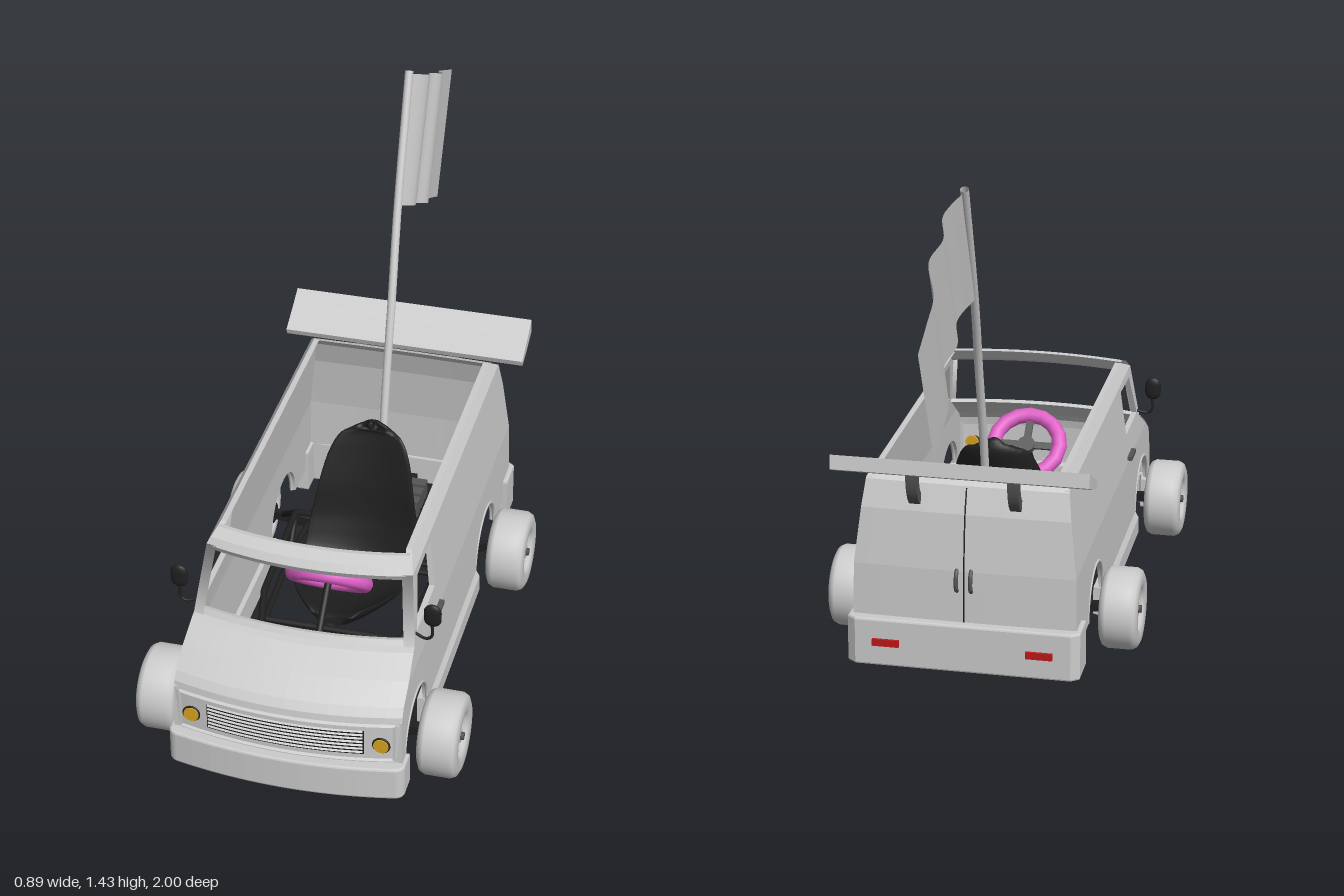
import * as THREE from 'three';
import { ParametricGeometry } from 'three/addons/geometries/ParametricGeometry.js';

const paint = (color) => new THREE.MeshStandardMaterial({ color, side: THREE.DoubleSide });
const grey = paint(0xcccccc), steel = paint(0x555555), dark = paint(0x202020);
const pink = paint(0xe060c8), amber = paint(0xd9a520), red = paint(0xc01818);
const V = (x, y, z) => new THREE.Vector3(x, y, z);

export function createModel() {
  const model = new THREE.Group();
  const left = new THREE.Group(); // everything mirrored to the other side
  left.name = 'leftSide';

  const add = (parent, name, geo, mat, x = 0, y = 0, z = 0) => {
    const m = new THREE.Mesh(geo, mat);
    m.name = name;
    m.position.set(x, y, z);
    parent.add(m);
    return m;
  };
  const box = (parent, name, mat, w, h, d, x, y, z) =>
    add(parent, name, new THREE.BoxGeometry(w, h, d), mat, x, y, z);
  const rod = (parent, name, pts, r, mat = dark) => {
    const path = pts.length > 2 ? new THREE.CatmullRomCurve3(pts) : new THREE.LineCurve3(...pts);
    return add(parent, name, new THREE.TubeGeometry(path, pts.length > 2 ? 16 : 1, r, 10), mat);
  };
  // Half width of the body at a given height
  const halfWidth = (y) => y < 0.33 ? 0.317 - 0.0212 * y
    : y < 0.57 ? 0.31 - (y - 0.33) * 0.1167 : 0.282 - (y - 0.57) * 0.667;
  // Sheet through rows of [z, y, half width], bowed in z toward the sides
  const panel = (parent, name, rows, bow, mat = grey) => {
    const n = rows.length - 1;
    return add(parent, name, new ParametricGeometry((u, v, t) => {
      const [z, y, w = halfWidth(y)] = rows[Math.round(v * n)];
      const x = (u * 2 - 1) * w;
      t.set(x, y, z - bow * (x / 0.31) ** 2);
    }, 16, n), mat);
  };
  const poly = (pts) => new THREE.Shape(pts.map(([a, b]) => new THREE.Vector2(a, b)));
  const extrude = (shape, depth) => new THREE.ExtrudeGeometry(shape, { depth, bevelEnabled: false, curveSegments: 20 });
  // Side wall piece drawn in (z, y) and leaned to the body's half width
  const wall = (name, shape) => {
    const geo = extrude(shape, 0.016);
    const p = geo.attributes.position;
    const ys = shape.getPoints().map((q) => q.y);
    const y0 = Math.min(...ys), y1 = Math.max(...ys);
    for (let i = 0; i < p.count; i++) {
      const z = p.getX(i), y = p.getY(i), k = (y - y0) / (y1 - y0);
      const w = THREE.MathUtils.lerp(halfWidth(y0), halfWidth(y1 - 1e-6), k);
      p.setXYZ(i, w - p.getZ(i), y, z);
    }
    geo.computeVertexNormals();
    add(left, name, geo, grey);
  };

  // Side walls: lower with wheel arches, upper with window, roof edge
  const wheelZ = [0.773, -0.07], axleY = 0.117;
  const lower = new THREE.Shape();
  lower.moveTo(-0.385, 0.33).lineTo(-0.39, 0.117);
  for (const z of [wheelZ[1], wheelZ[0]]) lower.absarc(z, axleY, 0.127, Math.PI, 0, true);
  lower.lineTo(0.935, 0.117).lineTo(0.93, 0.26).lineTo(0.91, 0.295).lineTo(0.856, 0.33);
  wall('lowerSideWall', lower);
  const upper = poly([[-0.385, 0.33], [0.856, 0.33], [0.765, 0.385], [0.7, 0.57], [-0.342, 0.57], [-0.365, 0.49]]);
  upper.holes.push(new THREE.Path(poly([[0.725, 0.41], [0.66, 0.545], [0.51, 0.55], [0.525, 0.41]]).getPoints()));
  wall('upperSideWall', upper);
  wall('roofEdge', poly([[-0.342, 0.57], [0.7, 0.57], [0.63, 0.6], [-0.295, 0.6]]));

  // Nose, bonnet, windscreen header, pillars and rear doors
  panel(model, 'nose', [[0.972, 0.12], [0.97, 0.25], [0.965, 0.275]], 0.04);
  panel(model, 'bonnet', [[0.965, 0.275], [0.948, 0.297], [0.89, 0.34], [0.82, 0.38], [0.8, 0.385], [0.79, 0.4]], 0.04);
  panel(model, 'cowl', [[0.79, 0.4], [0.775, 0.395]], 0.04);
  panel(model, 'windscreenHeader',
    [[0.73, 0.55], [0.738, 0.567], [0.725, 0.587], [0.69, 0.6], [0.675, 0.598], [0.7, 0.565], [0.73, 0.55]], 0.045);
  panel(model, 'rearDoors',
    [[-0.395, 0.1], [-0.392, 0.33], [-0.374, 0.49], [-0.35, 0.565], [-0.32, 0.59], [-0.295, 0.6]], -0.005);
  panel(model, 'rearDoorsInner', [[-0.375, 0.1], [-0.37, 0.33], [-0.352, 0.49], [-0.33, 0.565], [-0.295, 0.6]], -0.005);
  rod(model, 'doorSeam', [V(0, 0.18, -0.394), V(0, 0.33, -0.392), V(0, 0.49, -0.374), V(0, 0.56, -0.351)], 0.002);
  add(left, 'windscreenPillar', new ParametricGeometry((u, v, t) => {
    const y = 0.385 + v * 0.185;
    t.set(halfWidth(y) - u * 0.028, y, 0.765 - 0.065 * v + u * 0.006);
  }, 1, 1), grey);

  // Grille, its raised frame and headlights
  panel(model, 'grille', [[0.974, 0.158, 0.215], [0.973, 0.236, 0.215]], 0.04, dark);
  for (let i = 0; i < 7; i++) {
    const y = 0.162 + i * 0.0115;
    panel(model, 'grilleBar', [[0.974, y, 0.212], [0.978, y + 0.002, 0.212], [0.974, y + 0.006, 0.212]], 0.04);
  }
  for (const y of [0.137, 0.252])
    panel(model, 'grilleFrame', [[0.971, y, 0.295], [0.979, y + 0.002, 0.295], [0.971, y + 0.006, 0.295]], 0.04);
  box(left, 'grilleFrameEnd', grey, 0.006, 0.115, 0.016, 0.292, 0.198, 0.934);
  add(left, 'headlight', new THREE.CylinderGeometry(0.021, 0.021, 0.016, 24), amber, 0.26, 0.19, 0.945).rotation.x = Math.PI / 2;
  add(left, 'headlightRim', new THREE.TorusGeometry(0.022, 0.003, 8, 24), dark, 0.26, 0.19, 0.947);

  // Bumpers: plan outline in (x, -z) raised upward
  const bumper = (name, outline, y, h) => {
    const geo = new THREE.ExtrudeGeometry(outline, { depth: h - 0.012, bevelSize: 0.006, bevelThickness: 0.006, bevelSegments: 2 });
    add(model, name, geo.rotateX(-Math.PI / 2), grey, 0, y + 0.006, 0);
  };
  const front = new THREE.Shape();
  front.moveTo(-0.318, -0.895).lineTo(-0.318, -0.945).quadraticCurveTo(-0.314, -0.958, -0.3, -0.962);
  front.quadraticCurveTo(0, -1.026, 0.3, -0.962).quadraticCurveTo(0.314, -0.958, 0.318, -0.945);
  front.lineTo(0.318, -0.895).lineTo(0.298, -0.895).lineTo(0.29, -0.93).quadraticCurveTo(0, -0.98, -0.29, -0.93).lineTo(-0.298, -0.895);
  bumper('frontBumper', front, 0.03, 0.1);
  bumper('rearBumper', poly([[-0.32, 0.315], [-0.32, 0.4], [-0.3, 0.415], [0.3, 0.415], [0.32, 0.4], [0.32, 0.315],
    [0.295, 0.315], [0.295, 0.375], [-0.295, 0.375], [-0.295, 0.315]]), 0.04, 0.14);
  box(left, 'tailLight', red, 0.075, 0.02, 0.012, 0.215, 0.112, -0.423);
  rod(left, 'rearDoorHandle', [V(0.02, 0.27, -0.388), V(0.02, 0.282, -0.402), V(0.02, 0.32, -0.4), V(0.02, 0.335, -0.386)], 0.006, steel);

  // Sills, arch lips, side door handle and mirror
  const sill = poly([[0.285, 0.035], [0.31, 0.03], [0.324, 0.045], [0.324, 0.095], [0.312, 0.117], [0.285, 0.117]]);
  add(left, 'sill', extrude(sill, 0.6), grey, 0, 0, 0.05);
  for (const z of wheelZ)
    add(left, 'archLip', new THREE.TorusGeometry(0.127, 0.005, 8, 28, Math.PI), grey, 0.311, axleY, z).rotation.y = Math.PI / 2;
  box(left, 'sideDoorHandle', steel, 0.014, 0.012, 0.075, 0.316, 0.343, 0.54);
  rod(left, 'mirrorArm', [V(0.29, 0.415, 0.735), V(0.33, 0.405, 0.745), V(0.345, 0.415, 0.745), V(0.345, 0.46, 0.745)], 0.004);
  add(left, 'mirror', new THREE.CapsuleGeometry(0.024, 0.022, 6, 16), dark, 0.347, 0.484, 0.745).scale.z = 0.45;

  // Wheels: tyre with stepped rim and hub, carried on tapering arms
  const tyre = [[0.0, 0.045], [0.02, 0.045], [0.024, 0.032], [0.045, 0.03], [0.05, 0.04], [0.056, 0.04], [0.06, 0.048], [0.07, 0.054],
    [0.095, 0.055], [0.11, 0.048], [0.117, 0.034], [0.117, -0.034], [0.11, -0.048], [0.095, -0.055], [0.07, -0.054], [0.06, -0.03], [0, -0.03]]
    .map(([r, h]) => new THREE.Vector2(r, h)).reverse();
  const arm = poly([[0.12, 0.075], [0.34, 0.105], [0.34, 0.13], [0.12, 0.115]]);
  for (const z of wheelZ) {
    add(left, 'wheel', new THREE.LatheGeometry(tyre, 40), grey, 0.39, axleY, z).rotation.z = -Math.PI / 2;
    add(left, 'wheelNut', new THREE.CylinderGeometry(0.011, 0.011, 0.012, 6), steel, 0.438, axleY, z).rotation.z = Math.PI / 2;
    add(left, 'brakeDisc', new THREE.CylinderGeometry(0.03, 0.03, 0.02, 20), dark, 0.335, axleY, z).rotation.z = Math.PI / 2;
    add(left, 'suspensionArm', extrude(arm, 0.02), dark, 0, 0, z - 0.01);
    rod(model, 'axle', [V(-0.36, axleY, z), V(0.36, axleY, z)], 0.009);
  }

  // Tubular chassis, floor plates and engine
  const tubes = [
    [[0.13, 0.09, 0.8], [0.22, 0.09, 0.42]], [[0.22, 0.09, 0.42], [0.235, 0.09, 0.1]], [[0.235, 0.09, 0.1], [0.2, 0.12, -0.3]],
    [[0.22, 0.2, 0.4], [0.235, 0.2, 0.02]], [[0.22, 0.09, 0.42], [0.22, 0.2, 0.4]], [[0.235, 0.2, 0.02], [0.15, 0.13, -0.08]],
    [[0.13, 0.12, 0.8], [0.22, 0.2, 0.4]], [[0.235, 0.09, 0.1], [0.235, 0.2, 0.02]], [[0.235, 0.2, 0.02], [0.3, 0.117, -0.07]]];
  for (const [a, b] of tubes) rod(left, 'chassisTube', [V(...a), V(...b)], 0.009);
  for (const z of [0.4, 0.08, 0.04]) rod(model, 'crossTube', [V(-0.23, 0.1, z), V(0.23, 0.1, z)], 0.009);
  const plate = (name, pts, y) => add(model, name, extrude(poly(pts), 0.03).rotateX(-Math.PI / 2), dark, 0, y, 0);
  plate('frontFloor', [[-0.15, -0.8], [0.15, -0.8], [0.11, -0.62], [-0.11, -0.62]], 0.075);
  plate('rearFloor', [[-0.22, 0.07], [0.22, 0.07], [0.19, 0.3], [-0.19, 0.3]], 0.11);
  box(model, 'engineBlock', dark, 0.14, 0.1, 0.2, 0, 0.17, -0.13);
  for (let i = 0; i < 4; i++) {
    box(left, 'engineCylinder', steel, 0.055, 0.05, 0.032, 0.08, 0.2, -0.05 - i * 0.045);
    box(model, 'engineIntake', steel, 0.07, 0.03, 0.028, 0, 0.225, -0.05 - i * 0.045);
  }

  // Bucket seat: dished closed sections along a spine of [z, y, half width]
  const spine = [[0.478, 0.19, 0.03], [0.465, 0.19, 0.09], [0.4, 0.165, 0.135], [0.27, 0.13, 0.16], [0.15, 0.145, 0.165], [0.09, 0.25, 0.16],
    [0.06, 0.38, 0.138], [0.032, 0.48, 0.112], [0.018, 0.53, 0.08], [0.022, 0.547, 0.05], [0.025, 0.549, 0.005]];
  const curve = new THREE.CatmullRomCurve3(spine.map(([z, y, w]) => V(w, y, z)));
  add(model, 'seat', new ParametricGeometry((u, v, t) => {
    const p = curve.getPoint(v), d = curve.getTangent(v), a = u * Math.PI * 2;
    const l = Math.hypot(d.y, d.z) || 1, bolster = THREE.MathUtils.lerp(0.07, 0.03, v) * Math.min(1, p.x / 0.14);
    const n = bolster * Math.cos(a) ** 2 + 0.018 * Math.sin(a);
    t.set(p.x * Math.cos(a), p.y - n * d.z / l, p.z + n * d.y / l);
  }, 28, 40), dark);

  // Steering wheel
  const steering = new THREE.Group();
  steering.name = 'steeringWheel';
  steering.position.set(0, 0.363, 0.505);
  steering.rotation.x = -0.75;
  add(steering, 'rim', new THREE.TorusGeometry(0.101, 0.023, 10, 16).rotateX(Math.PI / 2), pink);
  add(steering, 'hub', new THREE.CylinderGeometry(0.026, 0.026, 0.02, 16), steel);
  for (const a of [0, Math.PI, -Math.PI / 2])
    box(steering, 'spoke', steel, 0.09, 0.008, 0.022, Math.cos(a) * 0.05, 0, -Math.sin(a) * 0.05).rotation.y = a;
  model.add(steering);
  rod(model, 'steeringColumn', [V(0, 0.36, 0.51), V(0, 0.13, 0.74)], 0.01);

  // Rear wing on curved brackets
  const wing = poly([[-0.327, 0.6], [-0.333, 0.583], [-0.4, 0.602], [-0.458, 0.628], [-0.452, 0.668], [-0.4, 0.638]]);
  add(model, 'rearWing', extrude(wing, 0.71), grey, 0.355, 0, 0).rotation.y = -Math.PI / 2;
  const bracket = new THREE.Shape();
  bracket.moveTo(-0.345, 0.53).lineTo(-0.36, 0.505).quadraticCurveTo(-0.415, 0.53, -0.42, 0.615);
  bracket.lineTo(-0.385, 0.605).quadraticCurveTo(-0.385, 0.55, -0.345, 0.53);
  add(left, 'wingBracket', extrude(bracket, 0.03), steel, 0.155, 0, 0).rotation.y = -Math.PI / 2;

  // Flag with two folds on a bent pole
  rod(model, 'flagPole', [V(0.01, 0.2, 0.0), V(0.004, 0.6, -0.105), V(0, 0.845, -0.188), V(-0.01, 1.07, -0.287), V(-0.02, 1.43, -0.458)], 0.012, grey);
  const folds = new THREE.SplineCurve([[0, -0.016], [0.15, 0.018], [0.3, 0], [0.45, 0.02], [0.65, -0.017], [0.82, -0.02], [1, -0.02]]
    .map(([u, x]) => new THREE.Vector2(u, x)));
  add(model, 'flag', new ParametricGeometry((s, v, t) => {
    const { x: u, y: x } = folds.getPoint(s);
    const z = THREE.MathUtils.lerp(-0.46 - 0.54 * u, -0.3 - 0.53 * u, v);
    const y = THREE.MathUtils.lerp(1.42 - 0.255 * u, 1.085 - 0.265 * u, v);
    t.set(x, y, z);
  }, 42, 4), grey);

  const right = left.clone();
  right.name = 'rightSide';
  right.scale.x = -1;
  model.add(left, right);
  return model;
}
